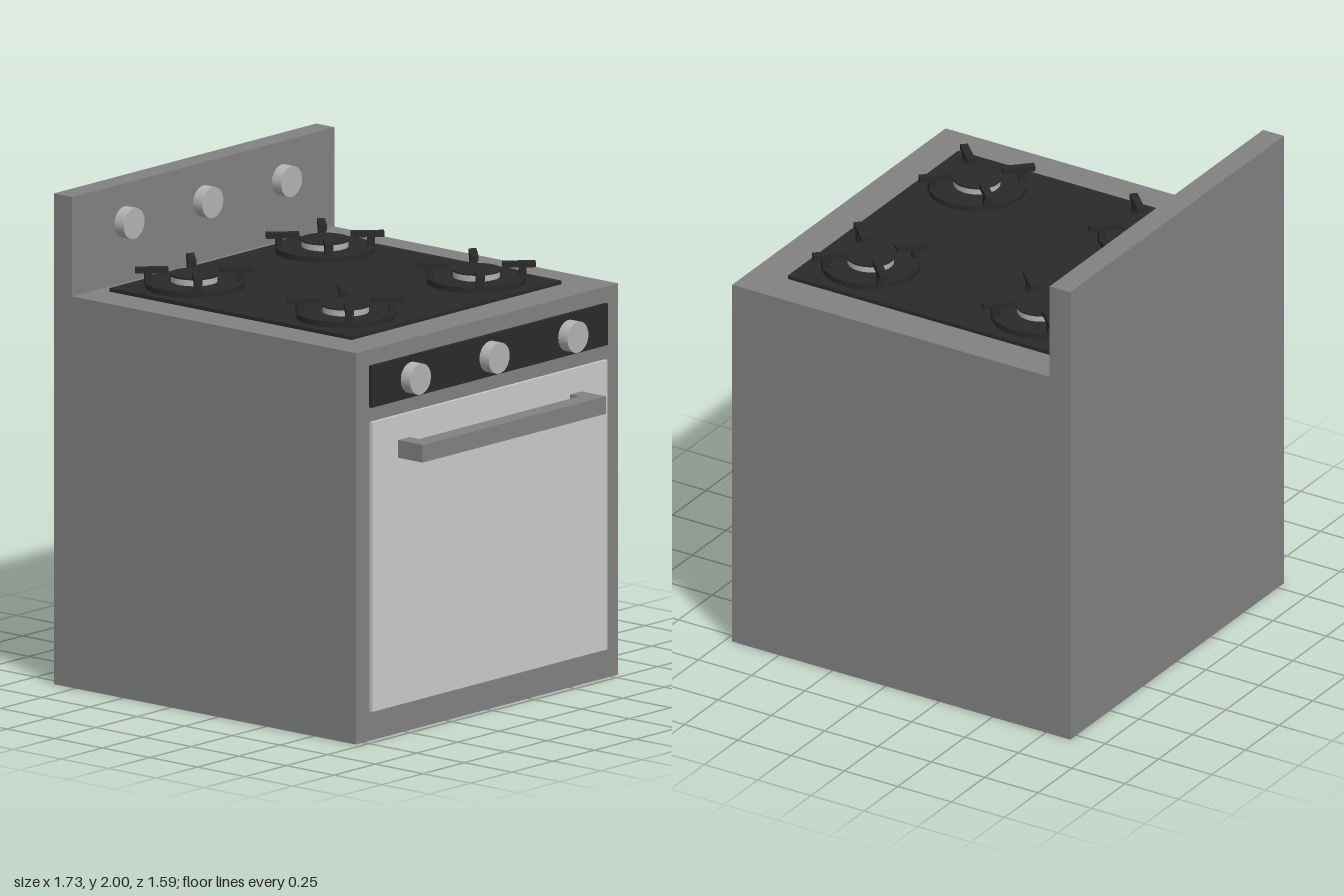
import * as THREE from 'three';

const mat = (color) => new THREE.MeshStandardMaterial({ color });

export function createModel() {
  const stove = new THREE.Group();
  stove.name = 'stove';
  const steel = mat(0x828282), door = mat(0xcccccc), knobGrey = mat(0xb3b3b3), black = mat(0x2a2a2a);

  const add = (parent, name, geometry, material, x = 0, y = 0, z = 0) => {
    const mesh = new THREE.Mesh(geometry, material);
    mesh.name = name;
    mesh.position.set(x, y, z);
    parent.add(mesh);
    return mesh;
  };
  // Box given by its minimum and maximum along each axis
  const box = (parent, name, material, [x0, x1], [y0, y1], [z0, z1]) =>
    add(parent, name, new THREE.BoxGeometry(x1 - x0, y1 - y0, z1 - z0), material,
      (x0 + x1) / 2, (y0 + y1) / 2, (z0 + z1) / 2);
  // Upright disc between two heights
  const disc = (parent, name, material, r, y0, y1) =>
    add(parent, name, new THREE.CylinderGeometry(r, r, y1 - y0, 40), material, 0, (y0 + y1) / 2, 0);

  // Cabinet with raised back panel as one L-shaped profile
  const profile = new THREE.Shape([
    [-0.865, 0], [0.72, 0], [0.72, 1.595], [-0.768, 1.595], [-0.768, 2], [-0.865, 2],
  ].map(([x, y]) => new THREE.Vector2(x, y)));
  add(stove, 'cabinet', new THREE.ExtrudeGeometry(profile, { depth: 1.59, bevelEnabled: false }),
    steel, 0, 0, -0.795);

  // Cooktop, control panel and oven door
  box(stove, 'cooktop', black, [-0.71, 0.56], [1.59, 1.61], [-0.635, 0.635]);
  box(stove, 'controlPanel', black, [0.71, 0.735], [1.36, 1.53], [-0.715, 0.715]);
  box(stove, 'ovenDoor', door, [0.71, 0.735], [0.12, 1.3], [-0.712, 0.712]);

  // Door handle with a bracket at each end
  const handle = new THREE.Group();
  handle.name = 'doorHandle';
  stove.add(handle);
  box(handle, 'handleBar', steel, [0.785, 0.863], [1.128, 1.2], [-0.555, 0.555]);
  for (const s of [-1, 1]) {
    const z = [s * 0.555, s * 0.485].sort((a, b) => a - b);
    box(handle, 'handleBracket', steel, [0.73, 0.785], [1.128, 1.2], z);
  }

  // Knobs on the control panel and on the back panel
  const knobGeometry = new THREE.CylinderGeometry(0.063, 0.063, 0.055, 40).rotateZ(-Math.PI / 2);
  for (const z of [-0.477, 0, 0.477]) {
    add(stove, 'controlKnob', knobGeometry, knobGrey, 0.757, 1.442, z);
    add(stove, 'backPanelKnob', knobGeometry, knobGrey, -0.746, 1.843, z);
  }

  // Four burners, each with four grate arms
  for (const x of [-0.473, 0.322]) for (const z of [-0.396, 0.396]) {
    const burner = new THREE.Group();
    burner.name = 'burner';
    burner.position.set(x, 0, z);
    stove.add(burner);
    disc(burner, 'burnerBase', black, 0.197, 1.605, 1.633);
    disc(burner, 'burnerHead', knobGrey, 0.093, 1.633, 1.658);
    disc(burner, 'burnerCap', black, 0.097, 1.658, 1.665);
    for (let i = 0; i < 4; i++) {
      const arm = new THREE.Group();
      arm.name = 'grateArm';
      arm.rotation.y = Math.PI / 4 + i * Math.PI / 2;
      burner.add(arm);
      box(arm, 'grateBar', black, [0.103, 0.235], [1.67, 1.692], [-0.016, 0.016]);
      box(arm, 'gratePost', black, [0.168, 0.198], [1.62, 1.67], [-0.016, 0.016]);
    }
  }
  return stove;
}
